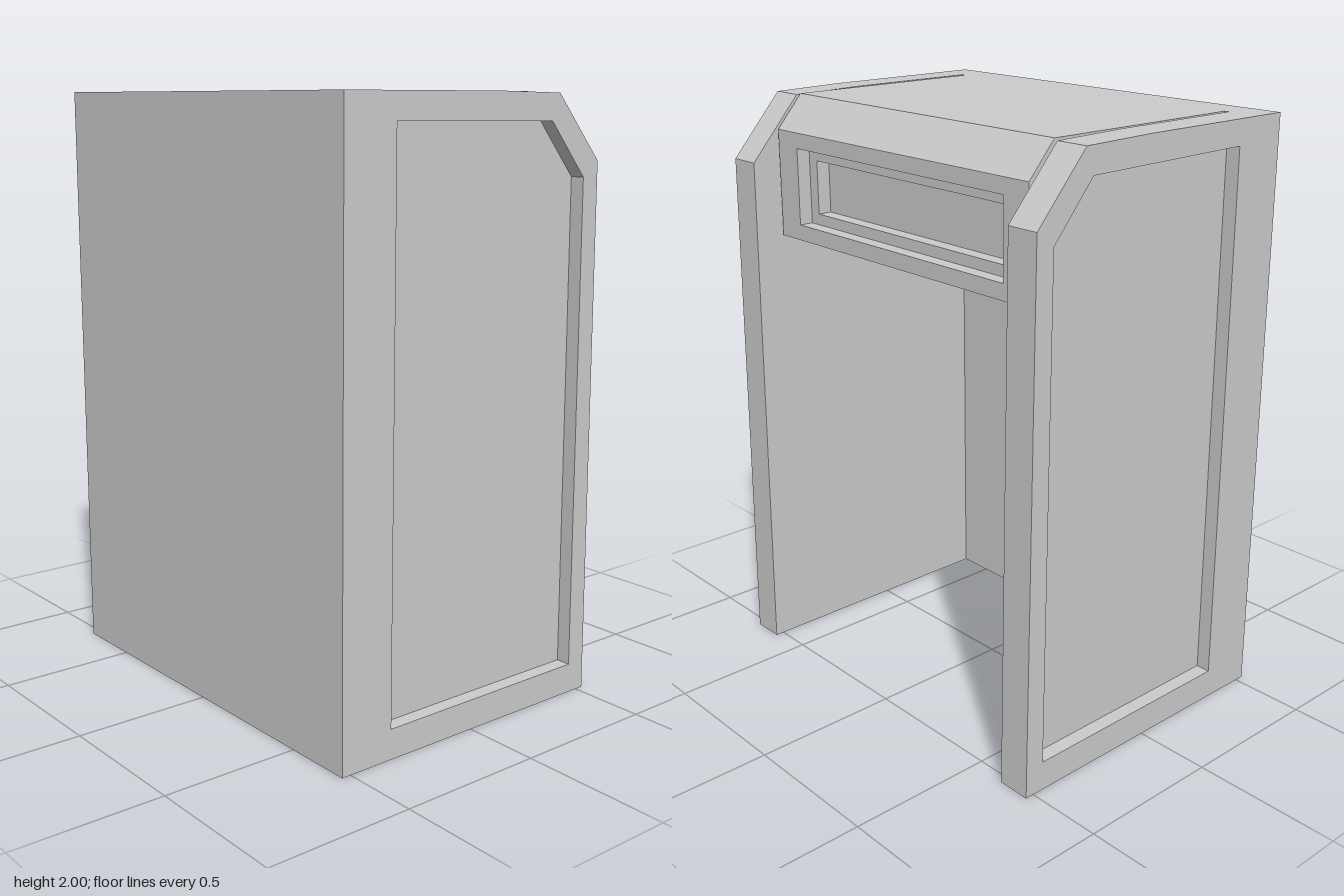
import * as THREE from 'three';

const material = new THREE.MeshStandardMaterial({ color: 0xcccccc });

const polygon = (points) => new THREE.Shape(points.map(([x, y]) => new THREE.Vector2(x, y)));

const rectangle = (halfWidth, bottom, top) => polygon([
  [-halfWidth, bottom], [halfWidth, bottom], [halfWidth, top], [-halfWidth, top],
]);

function extrude(name, shape, depth, hole) {
  if (hole) shape.holes.push(hole);
  const mesh = new THREE.Mesh(
    new THREE.ExtrudeGeometry(shape, { depth, bevelEnabled: false }), material);
  mesh.name = name;
  return mesh;
}

export function createModel() {
  const model = new THREE.Group();
  model.name = 'cabinetShell';

  const backX = -0.532, innerX = -0.42, frontX = 0.417, faceX = 0.32;
  const outerZ = 0.74, sideZ = 0.626, headerZ = 0.61, recess = 0.05;

  // Full-width back wall
  const back = new THREE.Mesh(new THREE.BoxGeometry(innerX - backX, 2, outerZ * 2), material);
  back.name = 'backWall';
  back.position.set((backX + innerX) / 2, 1, 0);
  model.add(back);

  // Side walls: a plain slab inside, a frame around the sunken panel outside
  const outline = [[innerX, 0], [0.53, 0], [0.51, 1.785], [0.325, 1.995], [0.07, 2], [innerX, 2]];
  const panel = [[-0.34, 0.1], [0.46, 0.1], [0.445, 1.735], [0.295, 1.91], [-0.34, 1.917]];
  const slabDepth = outerZ - sideZ - recess;
  for (const side of [1, -1]) {
    const wall = new THREE.Group();
    wall.name = side > 0 ? 'leftWall' : 'rightWall';
    const slab = extrude('wallSlab', polygon(outline), slabDepth);
    slab.position.z = side > 0 ? sideZ : -sideZ - slabDepth;
    const frame = extrude('wallFrame', polygon(outline), recess, polygon(panel));
    frame.position.z = side > 0 ? outerZ - recess : -outerZ;
    wall.add(slab, frame);
    model.add(wall);
  }

  // Header block with its chamfered top edge
  const header = new THREE.Group();
  header.name = 'header';
  const block = extrude('headerBlock', polygon([
    [innerX, 1.527], [faceX, 1.527], [faceX, 1.89], [frontX, 1.89], [faceX, 2], [innerX, 2],
  ]), headerZ * 2);
  block.position.z = -headerZ;
  header.add(block);

  // Two framed layers form the stepped opening in the header's face
  const layer = (frontX - faceX) / 2;
  const openings = [[0.463, 1.617, 1.797], [0.505, 1.58, 1.838]];
  openings.forEach((opening, i) => {
    const frame = extrude(i ? 'outerOpeningFrame' : 'innerOpeningFrame',
      rectangle(headerZ, 1.527, 1.89), layer, rectangle(...opening));
    frame.rotation.y = Math.PI / 2;
    frame.position.x = faceX + i * layer;
    header.add(frame);
  });
  model.add(header);

  return model;
}
